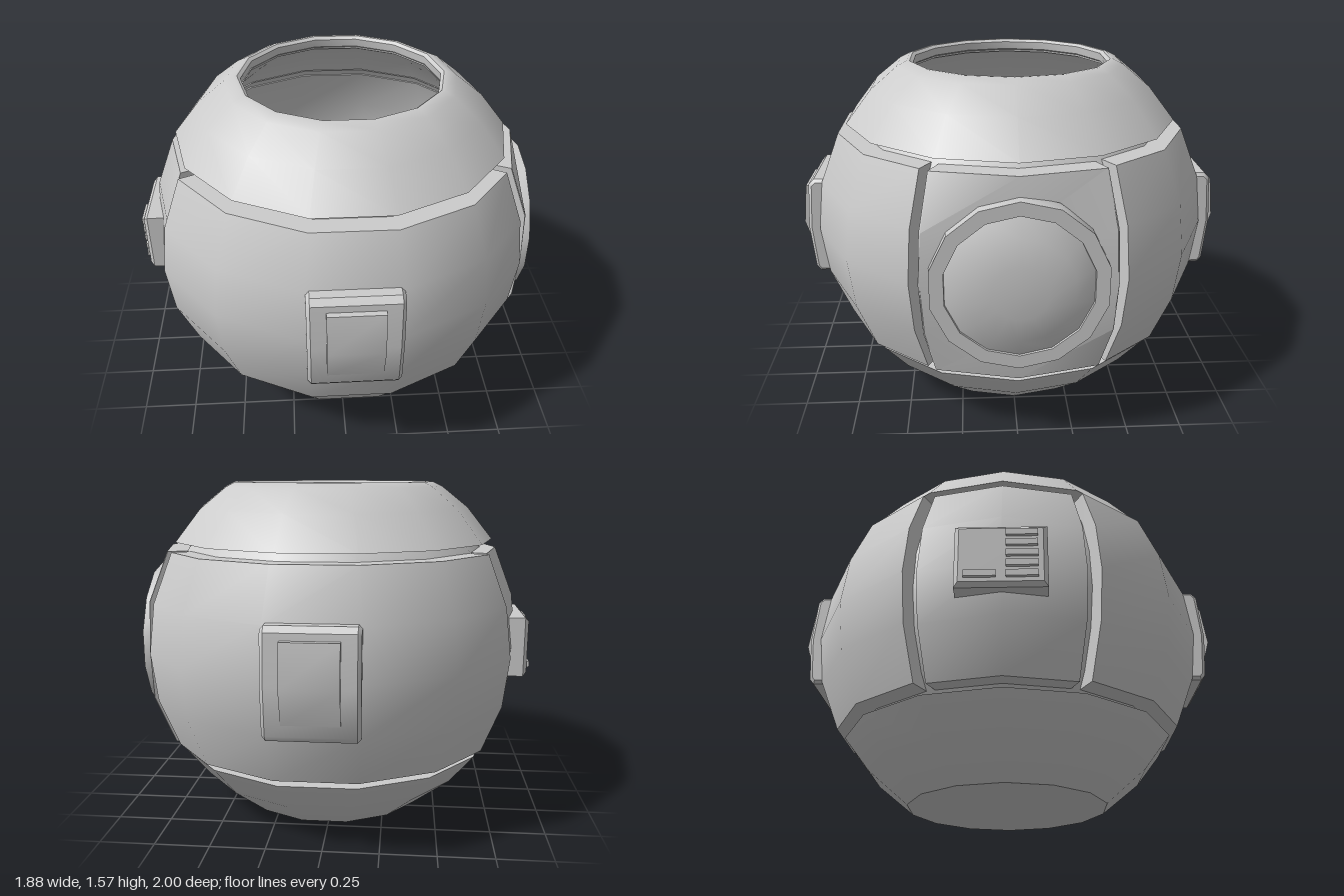
import * as THREE from 'three';
import { toCreasedNormals } from 'three/addons/utils/BufferGeometryUtils.js';

const SIDES = 14, MID = 0.8, R = 0.935, R_IN = 0.855;
const STEP = (Math.PI * 2) / SIDES;
const rad = THREE.MathUtils.degToRad;
const grey = new THREE.MeshStandardMaterial({ color: 0xcccccc });
const greyDouble = new THREE.MeshStandardMaterial({ color: 0xcccccc, side: THREE.DoubleSide });

function add(parent, name, geometry, material = grey) {
  const mesh = new THREE.Mesh(toCreasedNormals(geometry, 0.6), material);
  mesh.name = name;
  parent.add(mesh);
  return mesh;
}

// Flattens the left (+x) side of the ball, where the round window sits
function flatten(geometry, limit) {
  const p = geometry.attributes.position;
  for (let i = 0; i < p.count; i++) p.setX(i, Math.min(p.getX(i), limit));
  return geometry;
}

// Lathe with corners on the x axis
function ring(points) {
  const g = new THREE.LatheGeometry(points.map(([r, y]) => new THREE.Vector2(r, y)), SIDES);
  return g.rotateY(Math.PI / 2);
}

// Thick curved panel of the middle band, from azimuth a0 to a1 (0 = +x, 90 = +z)
function bandPanel(deg0, deg1) {
  const a0 = rad(deg0), a1 = rad(deg1), angles = [a0];
  for (let k = Math.ceil(a0 / STEP); k * STEP < a1; k++) angles.push(k * STEP);
  angles.push(a1);
  const ys = [0.34, 0.57, 0.8, 1.03, 1.26], n = ys.length;
  const at = (r, y) => [Math.sqrt(r * r - (y - MID) ** 2), y];
  const loop = [...ys.map(y => at(R, y)), ...ys.map(y => at(R_IN - 0.01, y)).reverse()];
  const pos = [], idx = [], m = loop.length;
  for (const a of angles) {
    const local = a - (Math.floor(a / STEP) + 0.5) * STEP;
    const chord = Math.cos(STEP / 2) / Math.cos(local);
    for (const [r, y] of loop) pos.push(r * chord * Math.cos(a), y, r * chord * Math.sin(a));
  }
  for (let j = 0; j < angles.length - 1; j++) {
    for (let i = 0; i < m; i++) {
      const a = j * m + i, b = j * m + (i + 1) % m, c = a + m, d = b + m;
      idx.push(a, b, c, b, d, c);
    }
  }
  // End walls
  const e = (angles.length - 1) * m;
  for (let i = 0; i < n - 1; i++) {
    const o = i, o2 = i + 1, q = m - 1 - i, q2 = m - 2 - i;
    idx.push(o, q, o2, o2, q, q2);
    idx.push(e + o, e + o2, e + q, e + o2, e + q2, e + q);
  }
  const g = new THREE.BufferGeometry();
  g.setAttribute('position', new THREE.Float32BufferAttribute(pos, 3));
  g.setIndex(idx);
  return g;
}

// Side profile of [z, y] points, extruded across x and centred
function profilePlate(points, width, bevel) {
  const shape = new THREE.Shape(points.map(([z, y]) => new THREE.Vector2(z, y)));
  const g = new THREE.ExtrudeGeometry(shape, {
    depth: width - 2 * bevel, bevelEnabled: bevel > 0, bevelSize: bevel,
    bevelOffset: -bevel, bevelThickness: bevel, bevelSegments: 1,
  });
  return g.translate(0, 0, bevel - width / 2).rotateY(-Math.PI / 2);
}

function hatch() {
  const group = new THREE.Group();
  add(group, 'hatchFrame', profilePlate(
    [[0.84, 0.57], [0.93, 0.57], [0.95, 0.595], [0.967, 0.8], [0.95, 1.015], [0.925, 1.04], [0.84, 1.04]], 0.4, 0.015));
  add(group, 'hatchCover', profilePlate(
    [[0.9, 0.64], [0.953, 0.64], [1.0, 0.8], [0.978, 0.985], [0.9, 0.985]], 0.24, 0));
  return group;
}

export function createModel() {
  const model = new THREE.Group();
  model.name = 'panelledBall';
  const ball = new THREE.Group();
  ball.name = 'ball';
  ball.position.x = 0.02;
  model.add(ball);

  // Hollow inner shell: floor of the grooves and the inside of the bowl
  const core = [[0, 0.03]];
  for (let i = 0; i <= 10; i++) {
    const t = rad(-64 + i * 12.2);
    core.push([R_IN * Math.cos(t), MID + R_IN * Math.sin(t)]);
  }
  core.push([0.465, 1.52]);
  add(ball, 'innerShell', flatten(ring(core), 0.79), greyDouble);

  // Upper cap with rim, and closed lower cap
  add(ball, 'upperCap', ring([[0.68, 1.3], [0.775, 1.3], [0.655, 1.45], [0.53, 1.55], [0.485, 1.572],
    [0.47, 1.572], [0.455, 1.56], [0.462, 1.51]]), greyDouble);
  add(ball, 'lowerCap', ring([[0, 0], [0.47, 0], [0.655, 0.15], [0.775, 0.3], [0.68, 0.3]]), greyDouble);

  // Four panels of the middle band
  add(ball, 'frontPanel', bandPanel(29.3, 153.7));
  add(ball, 'backPanel', bandPanel(-153.7, -29.3));
  add(ball, 'leftPanel', flatten(bandPanel(-26.2, 26.2), 0.82));
  const rightPanel = add(ball, 'rightPanel', bandPanel(156.8, 203.2));
  rightPanel.scale.set(0.975, 1, 0.975);

  // Front and back hatches
  for (const [name, turn] of [['frontHatch', 0], ['backHatch', Math.PI]]) {
    const h = hatch();
    h.name = name;
    h.rotation.y = turn;
    ball.add(h);
  }

  // Round window: ring and domed lens, turned from y to +x
  const windowGroup = new THREE.Group();
  windowGroup.name = 'roundWindow';
  windowGroup.position.y = MID;
  windowGroup.rotation.z = -Math.PI / 2;
  ball.add(windowGroup);
  const turned = pts => ring(pts);
  add(windowGroup, 'windowRing', turned([[0.375, 0.79], [0.375, 0.865], [0.315, 0.865], [0.31, 0.84]]), greyDouble);
  add(windowGroup, 'windowLens', turned([[0.315, 0.855], [0.23, 0.895], [0.12, 0.912], [0, 0.917]]), greyDouble);

  // Control box on the right side with its keys
  const box = new THREE.Group();
  box.name = 'controlBox';
  ball.add(box);
  const outline = [[-0.19, 0.66], [0.19, 0.66], [0.19, 0.945], [-0.19, 0.945]];
  const body = new THREE.ExtrudeGeometry(
    new THREE.Shape(outline.map(([z, y]) => new THREE.Vector2(z, y))),
    { depth: 0.08, bevelSize: 0.018, bevelOffset: -0.018, bevelThickness: 0.018, bevelSegments: 1 });
  add(box, 'controlBody', body.rotateY(-Math.PI / 2).translate(-0.85, 0, 0));
  const key = (name, y, z, width) =>
    add(box, name, new THREE.BoxGeometry(0.03, 0.028, width).translate(-0.948, y, z));
  for (let i = 0; i < 5; i++) key('key', 0.71 + i * 0.048, 0.085, 0.13);
  key('longKey', 0.71, -0.085, 0.13);

  return model;
}
